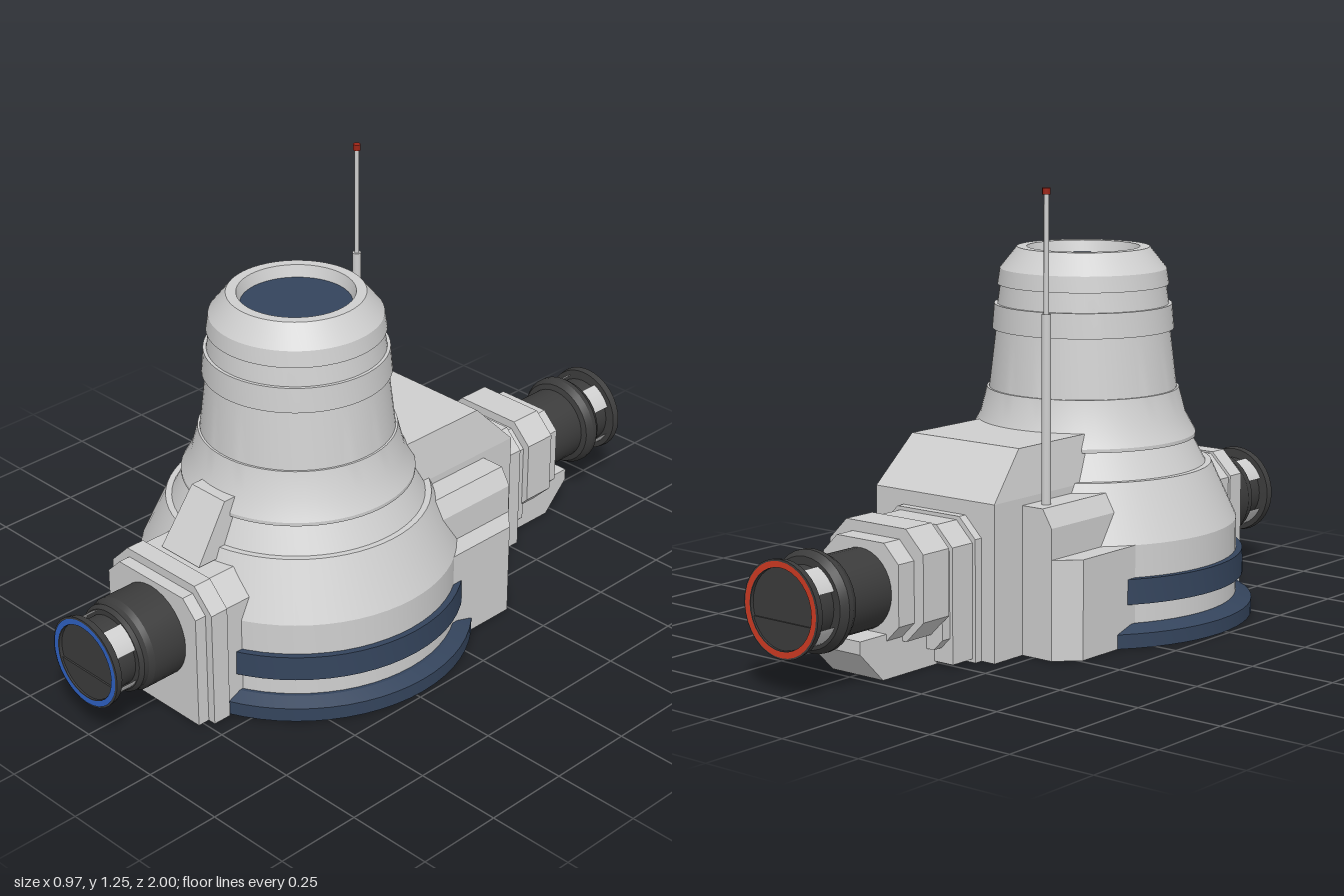
import * as THREE from 'three';
import { toCreasedNormals } from 'three/addons/utils/BufferGeometryUtils.js';

const mat = (name, color, side = THREE.FrontSide) => {
  const m = new THREE.MeshStandardMaterial({ color, side });
  m.name = name;
  return m;
};

export function createModel() {
  const model = new THREE.Group();
  model.name = 'dockingTower';
  const hull = mat('light grey hull', 0xcfcfcf, THREE.DoubleSide);
  const navy = mat('navy trim', 0x34445c);
  const dark = mat('charcoal', 0x3c3c3c);
  const blue = mat('blue ring', 0x2f62c4);
  const red = mat('red ring', 0xcf3a22);
  const tipRed = mat('beacon red', 0x9c2416);

  const add = (name, geo, material, parent = model) => {
    const mesh = new THREE.Mesh(geo, material);
    mesh.name = name;
    parent.add(mesh);
    return mesh;
  };
  const lathe = (pts, segs = 48) => toCreasedNormals(
    new THREE.LatheGeometry(pts.map(([r, y]) => new THREE.Vector2(r, y)), segs), 0.3);
  const shape = pts => new THREE.Shape(pts.map(([x, y]) => new THREE.Vector2(x, y)));
  const extrude = (s, depth) => new THREE.ExtrudeGeometry(s, { depth, bevelEnabled: false });

  // Block along z whose corners are cut at the top (c) and the bottom (b)
  const block = (name, w, y0, y1, c, b, z0, z1) => {
    const pts = [[-w + b, y0], [w - b, y0]];
    if (b) pts.push([w, y0 + b]);
    pts.push([w, y1 - c], [w - c, y1], [-w + c, y1], [-w, y1 - c]);
    if (b) pts.push([-w, y0 + b]);
    add(name, extrude(shape(pts), z1 - z0).translate(0, 0, z0), hull);
  };
  // Side profile in (z, y) extruded across x
  const sideProfile = (pts, half) =>
    extrude(shape(pts.map(([z, y]) => [-z, y])), half * 2).translate(0, 0, -half).rotateY(Math.PI / 2);
  // Narrow everything above a height to a given half width
  const taper = (geo, y, half, topHalf) => {
    const p = geo.attributes.position;
    for (let i = 0; i < p.count; i++) if (p.getY(i) > y) p.setX(i, p.getX(i) * topHalf / half);
    geo.computeVertexNormals();
    return geo;
  };

  // Round tower, open underneath
  const tower = new THREE.Group();
  tower.name = 'tower';
  tower.position.z = 0.225;
  model.add(tower);
  add('towerShell', lathe([
    [0.44, 0], [0.44, 0.275], [0.367, 0.435], [0.35, 0.435], [0.31, 0.51], [0.322, 0.51],
    [0.322, 0.52], [0.292, 0.575], [0.273, 0.648], [0.267, 0.648], [0.247, 0.815], [0.258, 0.815],
    [0.252, 0.885], [0.243, 0.885], [0.235, 0.94], [0.243, 0.94], [0.236, 0.985], [0.188, 1.045],
    [0.16, 1.045], [0.15, 1.01],
  ], 64), hull, tower);
  add('towerPort', new THREE.CircleGeometry(0.152, 48).rotateX(-Math.PI / 2).translate(0, 1.012, 0), navy, tower);
  add('baseRing', lathe([[0.44, 0], [0.486, 0], [0.486, 0.04], [0.45, 0.058], [0.44, 0.058]], 64), navy, tower);
  add('trimBand', lathe([[0.44, 0.115], [0.46, 0.115], [0.458, 0.185], [0.44, 0.185]], 64), navy, tower);

  // Front dock housing with its strut
  block('frontHousingRear', 0.193, 0, 0.4, 0.065, 0, 0.44, 0.675);
  block('frontHousing', 0.2, 0, 0.405, 0.065, 0, 0.675, 0.73);
  block('frontPlate', 0.176, 0, 0.38, 0.048, 0, 0.73, 0.765);
  add('frontStrut', taper(sideProfile([[0.66, 0.405], [0.555, 0.56], [0.45, 0.56], [0.45, 0.405]], 0.075),
    0.5, 0.075, 0.065), hull);

  // Rear block
  add('rearBlockLower', new THREE.BoxGeometry(0.42, 0.43, 0.561).translate(0, 0.215, -0.1345), hull);
  add('rearBlockUpper', taper(sideProfile([[0.1, 0.43], [0.1, 0.56], [-0.29, 0.56], [-0.415, 0.43]], 0.21),
    0.5, 0.21, 0.19), hull);
  for (const s of [1, -1]) {
    // Lower side pod in plan, with a cut rear corner
    const plan = [[0.2 * s, -0.146], [0.37 * s, -0.146], [0.37 * s, 0.24], [0.31 * s, 0.3], [0.2 * s, 0.3]];
    add('sidePod', extrude(shape(plan), 0.275).rotateX(-Math.PI / 2), hull);
    // Upper side pod with a sloping outer wall
    const wall = [[0.2 * s, 0.275], [0.31 * s, 0.275], [0.31 * s, 0.36], [0.28 * s, 0.41], [0.2 * s, 0.41]];
    add('sidePodTop', extrude(shape(wall), 0.446).translate(0, 0, -0.3), hull);
  }

  // Stepped rear neck and its foot
  block('neckCollar', 0.165, 0, 0.39, 0.055, 0, -0.44, -0.415);
  block('neckBase', 0.155, 0.01, 0.38, 0.055, 0, -0.52, -0.44);
  block('neckGroove', 0.145, 0.05, 0.365, 0.05, 0.03, -0.55, -0.52);
  block('neckBulge', 0.165, 0.09, 0.39, 0.06, 0.06, -0.645, -0.545);
  block('neckEnd', 0.133, 0.095, 0.36, 0.05, 0.05, -0.705, -0.645);
  add('rearFoot', sideProfile(
    [[-0.51, 0], [-0.72, 0], [-0.805, 0.085], [-0.805, 0.12], [-0.7, 0.12], [-0.51, 0.12]], 0.09), hull);

  // Docking couplings, built facing +z
  const coupling = (name, profile, ringMat, turn) => {
    const g = new THREE.Group();
    g.name = name;
    g.position.y = 0.228;
    g.rotation.y = turn;
    model.add(g);
    const end = [[0.1, 0.91], [0.1, 0.975], [0.127, 0.978], [0.13, 0.998], [0.108, 0.998], [0.108, 0.988], [0, 0.988]];
    add('couplingBody', lathe([...profile, ...end], 32).rotateX(Math.PI / 2), dark, g);
    add('couplingRing', new THREE.RingGeometry(0.109, 0.125, 32).translate(0, 0, 1), ringMat, g);
    const a = 0.31, half = new THREE.Shape();
    half.absarc(0, 0, 0.107, Math.PI + a, 2 * Math.PI - a, false);
    add('hatchHalf', extrude(half, 0.005).translate(0, 0, 0.988), dark, g);
    // Pale grip pads around the neck
    for (let i = 0; i < 4; i++) {
      add('gripPad', new THREE.CylinderGeometry(0.112, 0.112, 0.07, 5, 1, true,
        Math.PI / 4 + i * Math.PI / 2 - 0.36, 0.72).rotateX(Math.PI / 2).translate(0, 0, 0.943), hull, g);
    }
  };
  coupling('frontCoupling', [[0.133, 0.76], [0.133, 0.87], [0.125, 0.885], [0.125, 0.9], [0.115, 0.91]], blue, 0);
  coupling('rearCoupling', [[0.109, 0.7], [0.109, 0.85], [0.125, 0.855], [0.136, 0.875],
    [0.136, 0.89], [0.122, 0.91]], red, Math.PI);

  // Antenna with a beacon tip
  const rod = (name, r, y0, y1, m) =>
    add(name, new THREE.CylinderGeometry(r, r, y1 - y0, 12).translate(-0.247, (y0 + y1) / 2, -0.245), m);
  rod('antennaBase', 0.013, 0.4, 0.92, hull);
  rod('antennaMast', 0.007, 0.92, 1.235, hull);
  rod('antennaTip', 0.011, 1.235, 1.252, tipRed);

  return model;
}
